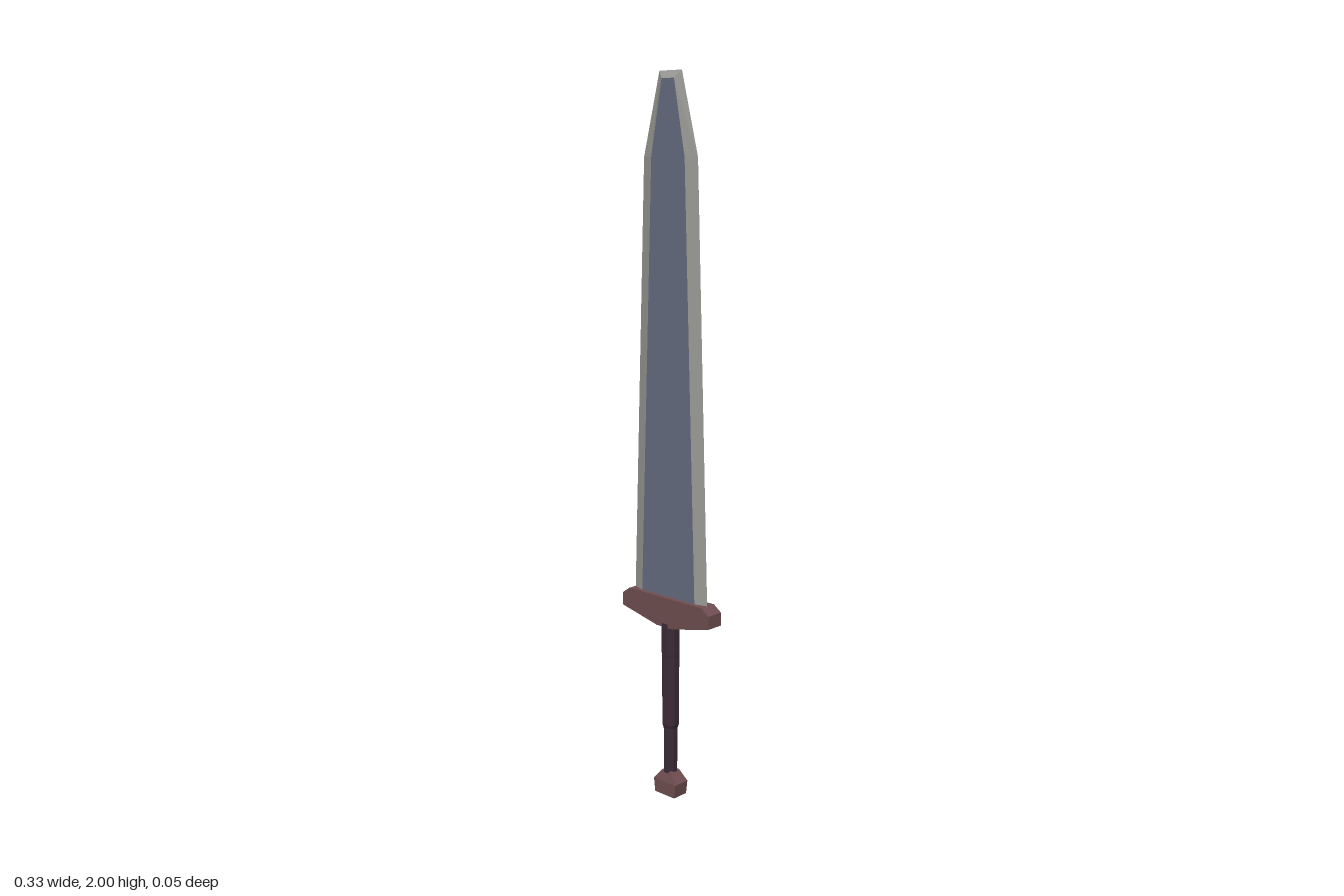
import * as THREE from 'three';

const paint = (color) => new THREE.MeshStandardMaterial({ color, flatShading: true });

function addMesh(parent, name, geometry, color) {
  const mesh = new THREE.Mesh(geometry, paint(color));
  mesh.name = name;
  parent.add(mesh);
  return mesh;
}

// Geometry from quads given as four corners, counter-clockwise from outside
function quadGeometry(quads) {
  const positions = [];
  for (const [a, b, c, d] of quads) for (const p of [a, b, c, a, c, d]) positions.push(...p);
  const geometry = new THREE.BufferGeometry();
  geometry.setAttribute('position', new THREE.Float32BufferAttribute(positions, 3));
  geometry.computeVertexNormals();
  return geometry;
}

// Rectangular sections [y, half width, half depth] stacked upwards
function stackedBox(sections) {
  const rings = sections.map(([y, w, d]) => [[-w, y, d], [w, y, d], [w, y, -d], [-w, y, -d]]);
  const quads = [];
  for (let i = 0; i < rings.length - 1; i++) {
    for (let j = 0; j < 4; j++) {
      const k = (j + 1) % 4;
      quads.push([rings[i][j], rings[i][k], rings[i + 1][k], rings[i + 1][j]]);
    }
  }
  quads.push([...rings[0]].reverse(), rings[rings.length - 1]);
  return quadGeometry(quads);
}

function createBlade() {
  const blade = new THREE.Group();
  blade.name = 'blade';
  // Half outlines [x, y]: sharp rim and raised flat, from guard to tip
  const rim = [[0.137, 0.57], [0.097, 1.78], [0.04, 2]];
  const flat = [[0.1, 0.57], [0.06, 1.78], [0.022, 1.98]];
  const thickness = 0.011;
  const loop = (half, z) => [
    ...half.map(([x, y]) => [x, y, z]),
    ...[...half].reverse().map(([x, y]) => [-x, y, z]),
  ];
  const outer = loop(rim, 0);
  const bevels = [];
  const faces = [];
  for (const side of [1, -1]) {
    const inner = loop(flat, thickness * side);
    const facing = (quad) => (side > 0 ? quad : quad.reverse());
    for (let i = 0; i < 5; i++) {
      bevels.push(facing([outer[i], outer[i + 1], inner[i + 1], inner[i]]));
    }
    for (let i = 0; i < 2; i++) {
      faces.push(facing([inner[5 - i], inner[i], inner[i + 1], inner[4 - i]]));
    }
  }
  addMesh(blade, 'bladeEdge', quadGeometry(bevels), 0x9a9a96);
  addMesh(blade, 'bladeFlat', quadGeometry(faces), 0x666c80);
  return blade;
}

export function createModel() {
  const sword = new THREE.Group();
  sword.name = 'sword';
  sword.add(createBlade());

  // Crossguard: extruded outline with a shallow V underneath
  const half = [[0.03, 0.5], [0.163, 0.53], [0.163, 0.567], [0.138, 0.585]];
  const outline = [...half, ...[...half].reverse().map(([x, y]) => [-x, y])];
  const shape = new THREE.Shape(outline.map(([x, y]) => new THREE.Vector2(x, y)));
  const guard = new THREE.ExtrudeGeometry(shape, { depth: 0.051, bevelEnabled: false });
  guard.translate(0, 0, -0.0265);
  addMesh(sword, 'crossguard', guard, 0x704e50);

  // Eight-sided grip, tapering towards the pommel
  const profile = [[0.0, 0.06], [0.02, 0.06], [0.02, 0.08], [0.021, 0.2], [0.025, 0.21],
    [0.026, 0.41], [0.027, 0.42], [0.027, 0.51], [0, 0.51]];
  const grip = new THREE.LatheGeometry(profile.map(([r, y]) => new THREE.Vector2(r, y)), 8);
  grip.rotateY(Math.PI / 8);
  addMesh(sword, 'grip', grip, 0x3c2b38);

  // Pommel: block with a sloped top
  addMesh(sword, 'pommel', stackedBox([
    [0, 0.037, 0.025], [0.04, 0.042, 0.025], [0.07, 0.017, 0.017],
  ]), 0x704e50);

  return sword;
}
